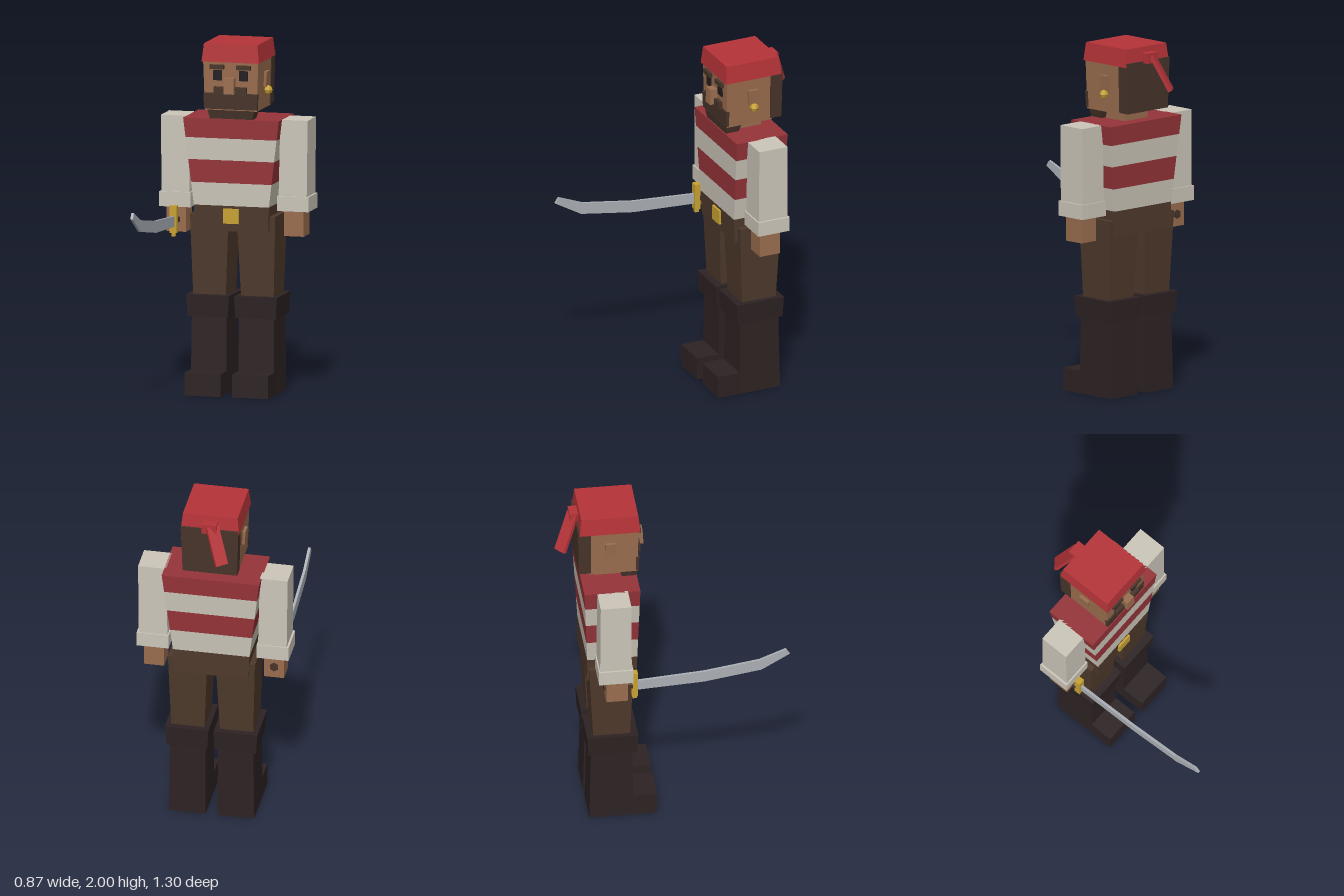
import * as THREE from 'three';

const mat = (name, color) => Object.assign(new THREE.MeshStandardMaterial({ color }), { name });
const M = {
  bandana: mat('bandanaRed', 0xb53338),
  stripe: mat('stripeRed', 0x963439),
  cloth: mat('offWhiteCloth', 0xccc6b9),
  trouser: mat('trouserBrown', 0x4e392b),
  hair: mat('hairBrown', 0x47342a),
  boot: mat('bootLeather', 0x2d2223),
  skin: mat('skin', 0x9a6d4e),
  gold: mat('gold', 0xc8a232),
  steel: mat('steel', 0xabb0b6),
  eye: mat('eyeBlack', 0x221d20),
};

export function createModel() {
  const root = new THREE.Group();
  root.name = 'sailor';

  const add = (name, geometry, material, parent = root) => {
    const mesh = new THREE.Mesh(geometry, material);
    mesh.name = name;
    parent.add(mesh);
    return mesh;
  };

  // Tapered box: each end is [xMin, xMax, zMin, zMax]
  const block = (name, material, y0, y1, low, high = low, parent = root) => {
    const g = new THREE.BoxGeometry(1, 1, 1);
    const p = g.attributes.position;
    for (let i = 0; i < p.count; i++) {
      const up = p.getY(i) > 0;
      const e = up ? high : low;
      p.setXYZ(i, e[p.getX(i) > 0 ? 1 : 0], up ? y1 : y0, e[p.getZ(i) > 0 ? 3 : 2]);
    }
    g.computeVertexNormals();
    return add(name, g, material, parent);
  };

  // Same block on either side of the body
  const flip = (e, s) => (s > 0 ? e : [-e[1], -e[0], e[2], e[3]]);
  const sideBlock = (s, name, material, y0, y1, low, high = low) =>
    block((s > 0 ? 'left' : 'right') + name, material, y0, y1, flip(low, s), flip(high, s));

  // Striped shirt
  const hem = [-0.22, 0.22, -0.485, -0.2], shoulder = [-0.28, 0.28, -0.508, -0.19];
  const levels = [1.075, 1.205, 1.335, 1.46, 1.57];
  const section = (y) => hem.map((v, i) => THREE.MathUtils.lerp(v, shoulder[i], (y - 1.075) / 0.495));
  for (let i = 0; i < 4; i++) {
    block('shirtStripe' + (i + 1), i % 2 ? M.stripe : M.cloth, levels[i], levels[i + 1],
      section(levels[i]), section(levels[i + 1]));
  }

  // Hips and buckle
  block('hips', M.trouser, 0.93, 1.075, [-0.215, 0.215, -0.488, -0.205], hem);
  block('beltBuckle', M.gold, 0.975, 1.06, [-0.045, 0.045, -0.22, -0.188]);

  // Arms and legs
  for (const s of [1, -1]) {
    sideBlock(s, 'Sleeve', M.cloth, 1.12, 1.57, [0.26, 0.425, -0.438, -0.258], [0.27, 0.43, -0.435, -0.26]);
    sideBlock(s, 'SleeveCuff', M.cloth, 1.05, 1.135, [0.253, 0.437, -0.445, -0.25]);
    sideBlock(s, 'Hand', M.skin, 0.905, 1.06, [0.287, 0.402, -0.4, -0.276]);
    sideBlock(s, 'Thigh', M.trouser, 0.5, 1.02, [0.047, 0.234, -0.45, -0.245], [0.024, 0.25, -0.478, -0.225]);
    sideBlock(s, 'BootShaft', M.boot, 0, 0.45, [0.034, 0.245, -0.476, -0.224], [0.036, 0.24, -0.466, -0.23]);
    sideBlock(s, 'BootToe', M.boot, 0, 0.13, [0.034, 0.245, -0.23, -0.09]);
    sideBlock(s, 'BootCuff', M.boot, 0.437, 0.56, [0.022, 0.258, -0.485, -0.207], [0.015, 0.266, -0.49, -0.2]);
  }

  // Head
  block('neck', M.skin, 1.56, 1.64, [-0.09, 0.09, -0.43, -0.28]);
  block('head', M.skin, 1.62, 1.92, [-0.152, 0.152, -0.47, -0.19], [-0.162, 0.162, -0.47, -0.185]);
  block('backHair', M.hair, 1.63, 1.92, [-0.157, 0.157, -0.525, -0.455], [-0.165, 0.165, -0.53, -0.455]);
  block('beard', M.hair, 1.628, 1.72, [-0.155, 0.155, -0.2, -0.183], [-0.159, 0.159, -0.2, -0.18]);
  block('chinBeard', M.hair, 1.572, 1.622, [-0.125, 0.125, -0.275, -0.195], [-0.137, 0.137, -0.29, -0.187]);
  block('moustache', M.hair, 1.715, 1.757, [-0.095, 0.095, -0.2, -0.165]);
  block('nose', M.skin, 1.72, 1.81, [-0.03, 0.03, -0.2, -0.14], [-0.028, 0.028, -0.2, -0.145]);
  for (const s of [1, -1]) {
    sideBlock(s, 'Eye', M.eye, 1.793, 1.85, [0.05, 0.1, -0.19, -0.178]);
    sideBlock(s, 'Eyebrow', M.hair, 1.857, 1.882, [0.037, 0.12, -0.2, -0.166]);
    sideBlock(s, 'Ear', M.skin, 1.745, 1.832, [0.14, 0.17, -0.373, -0.317], [0.14, 0.177, -0.376, -0.313]);
  }

  // Earring
  const bead = new THREE.SphereGeometry(0.026, 6, 4).toNonIndexed();
  bead.computeVertexNormals();
  add('earring', bead, M.gold).position.set(0.174, 1.725, -0.348);

  // Bandana, knot and hanging tail
  block('bandana', M.bandana, 1.897, 2, [-0.168, 0.168, -0.522, -0.175], [-0.157, 0.157, -0.51, -0.185]);
  block('bandanaKnot', M.bandana, 1.91, 1.968, [-0.045, 0.04, -0.563, -0.51]);
  const from = new THREE.Vector3(-0.015, 1.955, -0.54), to = new THREE.Vector3(-0.087, 1.75, -0.622);
  const along = from.clone().sub(to);
  const length = along.length();
  along.normalize();
  const across = new THREE.Vector3(0.8, 0, -0.6);
  across.addScaledVector(along, -across.dot(along)).normalize();
  const tail = add('bandanaTail', new THREE.BoxGeometry(0.074, length, 0.022), M.bandana);
  tail.quaternion.setFromRotationMatrix(
    new THREE.Matrix4().makeBasis(across, along, across.clone().cross(along)));
  tail.position.copy(from).add(to).multiplyScalar(0.5);

  // Curved sword held in the right hand
  const sword = new THREE.Group();
  sword.name = 'sword';
  root.add(sword);
  const outline = [
    [-0.23, 0.94], [0.165, 0.962], [0.49, 1.015], [0.65, 1.11],
    [0.628, 1.142], [0.477, 1.08], [0.165, 1.03], [-0.23, 1],
  ].map(([z, y]) => new THREE.Vector2(-z, y));
  const blade = new THREE.ExtrudeGeometry(new THREE.Shape(outline), { depth: 0.015, bevelEnabled: false });
  blade.rotateY(Math.PI / 2);
  add('blade', blade, M.steel, sword).position.x = -0.353;
  block('swordGuard', M.gold, 0.905, 1.06, [-0.367, -0.326, -0.25, -0.215], undefined, sword);
  block('guardTip', M.gold, 0.885, 0.91, [-0.356, -0.336, -0.245, -0.22], undefined, sword);
  const grip = new THREE.CylinderGeometry(0.026, 0.026, 0.165, 6).rotateX(Math.PI / 2).toNonIndexed();
  grip.computeVertexNormals();
  add('swordGrip', grip, M.hair, sword).position.set(-0.346, 0.975, -0.327);

  return root;
}
